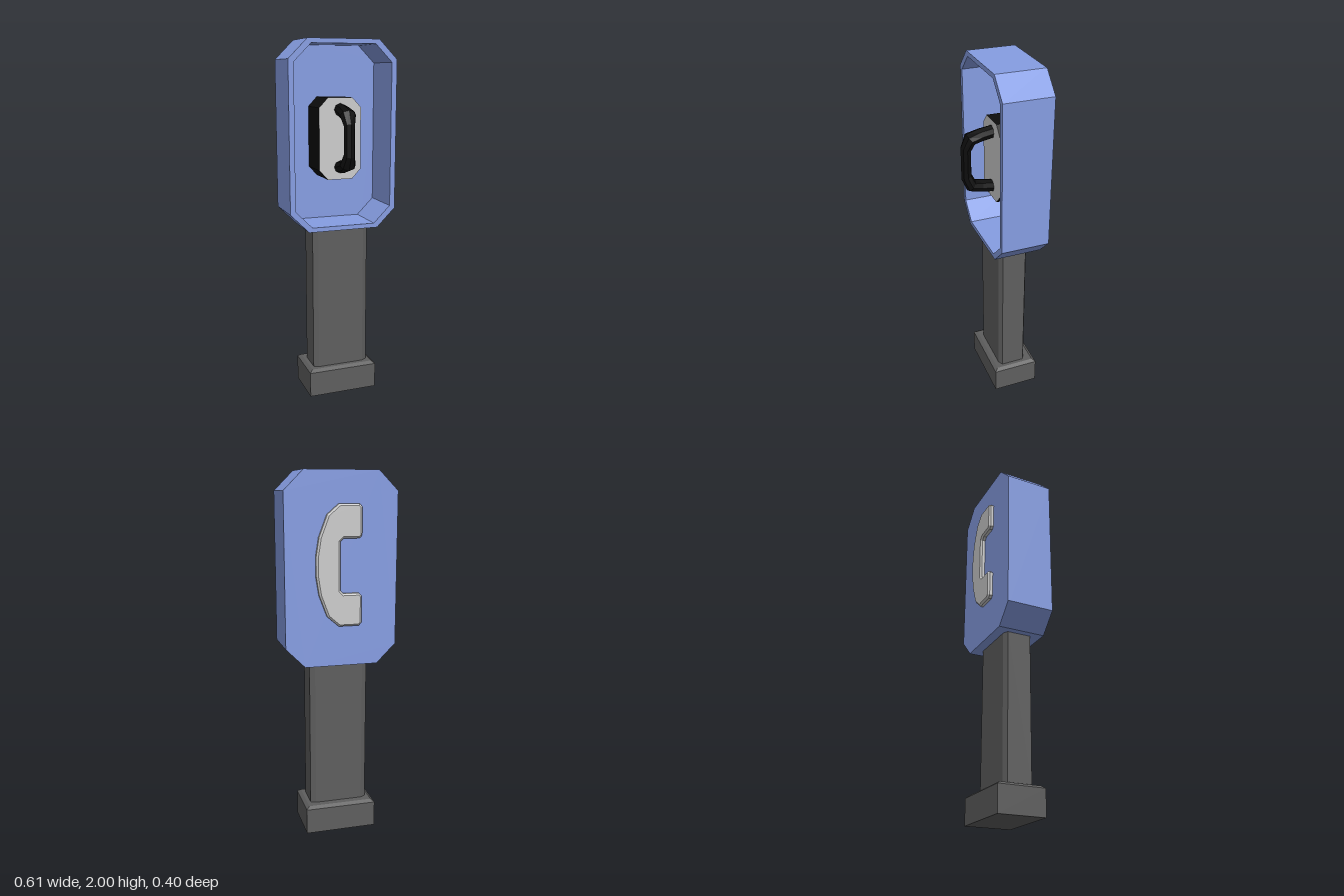
import * as THREE from 'three';

const mat = (color) => new THREE.MeshStandardMaterial({ color, flatShading: true });
const blue = mat(0x869de2);
const dark = mat(0x5e5e5e);
const black = mat(0x0d0d0d);
const grey = mat(0xcccccc);

// Rectangle with cut corners, half sizes w x h, corner cuts cx x cy.
function cutRect(w, h, cx, cy, y = 0, Type = THREE.Shape) {
  const p = [[w, h - cy], [w - cx, h], [cx - w, h], [-w, h - cy],
    [-w, cy - h], [cx - w, -h], [w - cx, -h], [w, cy - h]];
  return new Type(p.map(([a, b]) => new THREE.Vector2(a, b + y)));
}

// Flat shape extruded between two z planes.
function slab(shape, z0, z1) {
  return new THREE.ExtrudeGeometry(shape, { depth: z1 - z0, bevelEnabled: false }).translate(0, 0, z0);
}

export function createModel() {
  const model = new THREE.Group();
  const add = (name, geometry, material) => {
    const mesh = new THREE.Mesh(geometry, material);
    mesh.name = name;
    model.add(mesh);
  };

  // Base block with a small sloped top edge
  add('base', new THREE.BoxGeometry(0.4, 0.143, 0.263).translate(0, 0.0715, -0.0465), dark);
  const top = new THREE.BoxGeometry(0.4, 0.014, 0.263);
  const tp = top.attributes.position;
  for (let i = 0; i < tp.count; i++) {
    if (tp.getY(i) > 0) tp.setXYZ(i, tp.getX(i) * 0.91, tp.getY(i), tp.getZ(i) * 0.86);
  }
  add('baseTop', top.translate(0, 0.15, -0.0465), dark);

  // Post with chamfered vertical edges
  const post = slab(cutRect(0.162, 0.082, 0.028, 0.015), 0, 0.83).rotateX(-Math.PI / 2);
  add('post', post.translate(0, 0.15, -0.04), dark);

  // Open-fronted hood: rim walls and back panel
  const midY = 1.4875;
  const rim = cutRect(0.305, 0.5125, 0.105, 0.105, midY);
  rim.holes.push(cutRect(0.275, 0.4875, 0.095, 0.095, midY, THREE.Path));
  add('hoodWalls', slab(rim, -0.163, 0.09), blue);
  add('hoodBack', slab(cutRect(0.305, 0.5125, 0.105, 0.105, midY), -0.176, -0.163), blue);

  // Telephone box with a pale front face and black sides
  add('phoneBox', slab(cutRect(0.12, 0.2225, 0.05, 0.053, 1.4725), -0.165, 0.03), [grey, black]);

  // Handset: an eight-sided tube, rows are [z, height from middle, half width, half depth, tilt]
  const half = [
    [0.015, 0.158, 0.034, 0.034, 90], [0.09, 0.146, 0.037, 0.035, 80],
    [0.148, 0.132, 0.045, 0.035, 50], [0.172, 0.078, 0.031, 0.03, 22],
  ];
  const rows = [...half, ...half.map(([z, y, w, d, a]) => [z, -y, w, d, -a]).reverse()];
  const handset = new THREE.CylinderGeometry(1, 1, 1, 8, rows.length - 1, true);
  const hp = handset.attributes.position;
  for (let i = 0; i < hp.count; i++) {
    const [z, y, w, d, tilt] = rows[Math.round((0.5 - hp.getY(i)) * (rows.length - 1))];
    const a = THREE.MathUtils.degToRad(tilt);
    const out = hp.getZ(i) * d;
    hp.setXYZ(i, hp.getX(i) * w, 1.475 + y + out * Math.sin(a), z + out * Math.cos(a));
  }
  handset.computeVertexNormals();
  add('handset', handset, black);

  // Bevelled receiver emblem on the back
  const upper = [
    [0.142, 0.05], [0.126, 0.15], [0.082, 0.265], [0.02, 0.318], [-0.09, 0.318], [-0.105, 0.303],
    [-0.105, 0.158], [-0.09, 0.143], [-0.005, 0.143], [0.012, 0.126],
  ];
  const outline = [...upper, ...upper.map(([x, y]) => [x, -y]).reverse()];
  const emblem = new THREE.ExtrudeGeometry(
    new THREE.Shape(outline.map(([x, y]) => new THREE.Vector2(x, y + 1.512))),
    { depth: 0.018, bevelThickness: 0.01, bevelSize: 0.01, bevelOffset: -0.01, bevelSegments: 1 },
  );
  add('receiverEmblem', emblem.translate(0, 0, -0.193), grey);

  return model;
}
